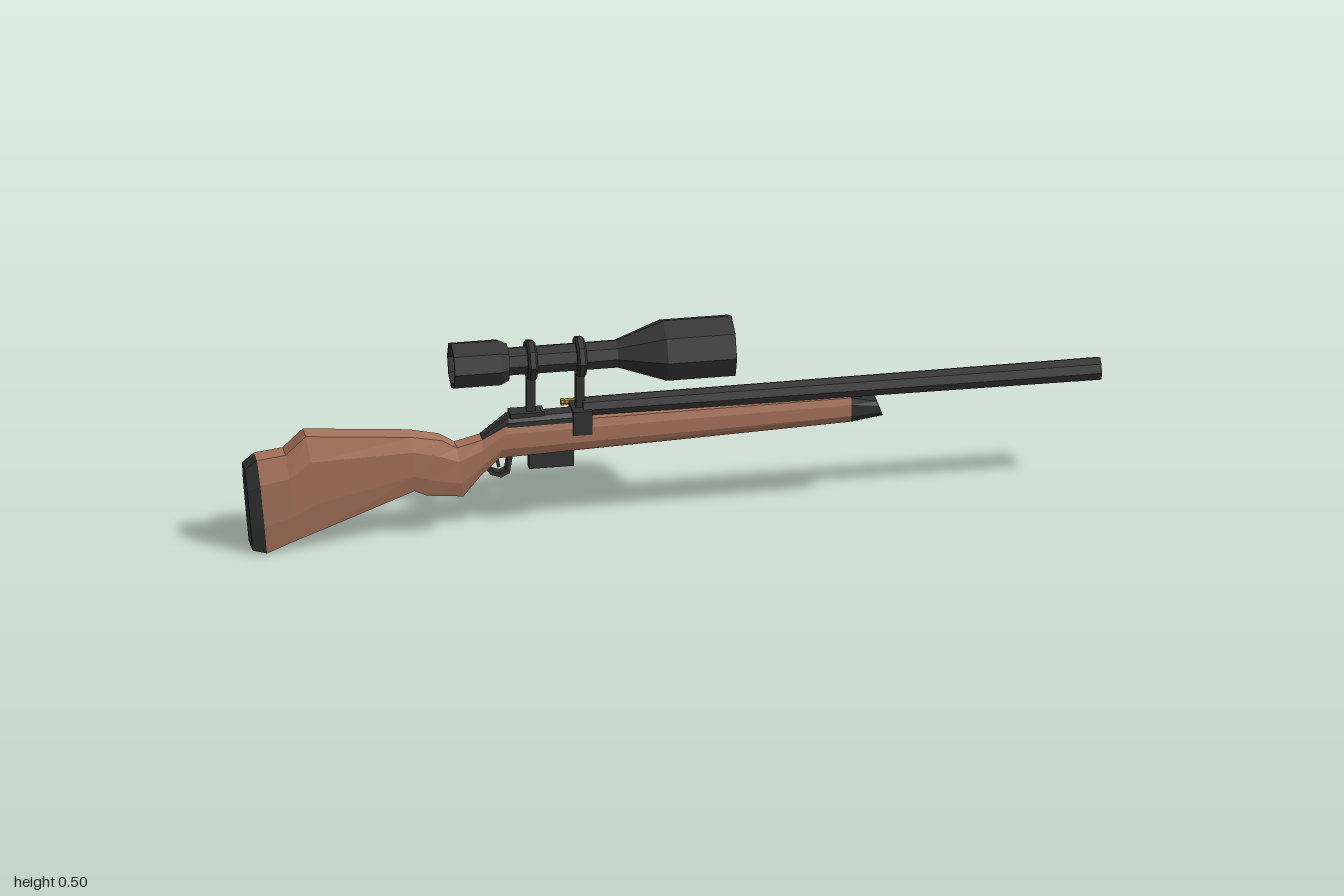
import * as THREE from 'three';

const Z = 0.04; // centre plane of the rifle

const paint = (name, color) => {
  const m = new THREE.MeshStandardMaterial({ color });
  m.name = name;
  return m;
};

// Faceted normals
function facet(geo) {
  const g = geo.index ? geo.toNonIndexed() : geo;
  g.computeVertexNormals();
  return g;
}

// Loft eight-sided sections: [topX, topY, bottomX, bottomY, topHalf, midHalf, bottomHalf]
function loft(stations) {
  const pos = [], idx = [], n = 8;
  for (const [tx, ty, bx, by, wt, wm, wb] of stations) {
    const half = [[1, wt], [0.75, wm], [0.3, wm], [0, wb]];
    const ring = [...half, ...half.slice().reverse().map(([t, w]) => [t, -w])];
    for (const [t, w] of ring) pos.push(bx + (tx - bx) * t, by + (ty - by) * t, w);
  }
  const last = (stations.length - 1) * n;
  for (let s = 0; s < last; s += n) {
    for (let i = 0; i < n; i++) {
      const j = (i + 1) % n;
      idx.push(s + i, s + j, s + n + i, s + j, s + n + j, s + n + i);
    }
  }
  for (let i = 1; i < n - 1; i++) idx.push(0, i + 1, i, last, last + i, last + i + 1);
  const g = new THREE.BufferGeometry();
  g.setAttribute('position', new THREE.Float32BufferAttribute(pos, 3));
  g.setIndex(idx);
  return facet(g);
}

// Turn a profile of [x, radius] about the x axis
function turned(profile, sides = 8) {
  const g = new THREE.LatheGeometry(profile.map(([x, r]) => new THREE.Vector2(r, x)), sides);
  g.rotateZ(-Math.PI / 2);
  return facet(g);
}

export function createModel() {
  const group = new THREE.Group();
  group.name = 'rifle';
  const wood = paint('wood', 0xa8745c);
  const metal = paint('gunmetal', 0x333333);
  const rubber = paint('darkTrim', 0x2f3232);
  const brass = paint('brass', 0xb5832f);
  const copper = paint('copper', 0x9a5f30);

  const add = (name, geo, mat, x = 0, y = 0, z = Z) => {
    const mesh = new THREE.Mesh(geo, mat);
    mesh.name = name;
    mesh.position.set(x, y, z);
    group.add(mesh);
    return mesh;
  };
  const box = (name, mat, x0, x1, y0, y1, depth) =>
    add(name, new THREE.BoxGeometry(x1 - x0, y1 - y0, depth), mat, (x0 + x1) / 2, (y0 + y1) / 2);

  // Stock, grip and forearm
  add('stock', loft([
    [-0.972, 0.235, -0.95, 0, 0.022, 0.036, 0.03],
    [-0.905, 0.243, -0.88, 0.028, 0.022, 0.038, 0.03],
    [-0.858, 0.287, -0.82, 0.05, 0.022, 0.038, 0.03],
    [-0.61, 0.265, -0.605, 0.13, 0.022, 0.034, 0.027],
    [-0.54, 0.25, -0.575, 0.115, 0.02, 0.032, 0.025],
    [-0.505, 0.228, -0.49, 0.105, 0.018, 0.03, 0.022],
    [-0.445, 0.243, -0.45, 0.152, 0.018, 0.029, 0.02],
    [-0.39, 0.28, -0.405, 0.195, 0.024, 0.03, 0.02],
    [0.415, 0.285, 0.415, 0.222, 0.025, 0.03, 0.02],
  ]), wood);
  add('buttPad', loft([
    [-1, 0.213, -0.983, 0.008, 0.02, 0.031, 0.026],
    [-0.972, 0.235, -0.95, 0, 0.022, 0.036, 0.03],
  ]), rubber);
  add('foreEndCap', loft([
    [0.415, 0.285, 0.415, 0.222, 0.025, 0.03, 0.02],
    [0.475, 0.27, 0.49, 0.232, 0.022, 0.027, 0.018],
  ]), rubber);

  // Barrel with a hollow muzzle
  add('barrel', turned([[-0.21, 0], [-0.21, 0.023], [1, 0.028], [1, 0.014], [0.96, 0.014], [0.96, 0]]),
    metal, 0, 0.302);

  // Receiver with a tang sloping down to the grip
  add('receiver', loft([
    [-0.445, 0.248, -0.445, 0.225, 0.012, 0.018, 0.016],
    [-0.385, 0.293, -0.385, 0.26, 0.016, 0.026, 0.024],
    [-0.19, 0.297, -0.19, 0.26, 0.016, 0.026, 0.024],
  ]), metal);
  box('rearMountBase', metal, -0.38, -0.3, 0.275, 0.303, 0.036);
  box('frontMountBase', metal, -0.235, -0.19, 0.243, 0.303, 0.064);

  // Scope body with recessed ends
  add('scope', turned([
    [-0.495, 0], [-0.495, 0.043], [-0.515, 0.047], [-0.515, 0.056], [-0.405, 0.056], [-0.385, 0.046],
    [-0.385, 0.034], [-0.13, 0.034], [-0.02, 0.075], [0.14, 0.075], [0.14, 0.062],
    [0.105, 0.05], [0.105, 0],
  ]), metal, 0, 0.43);
  const lens = new THREE.SphereGeometry(0.042, 12, 4, 0, Math.PI * 2, 0, Math.PI / 2);
  lens.scale(1, 0.35, 1).rotateZ(-Math.PI / 2);
  add('frontLens', lens, metal, 0.106, 0.43);

  // Scope rings on posts
  for (const x of [-0.33, -0.215]) {
    add('scopeRing', turned([
      [-0.011, 0.03], [-0.011, 0.044], [-0.006, 0.05], [0.006, 0.05], [0.011, 0.044], [0.011, 0.03],
    ]), metal, x, 0.43);
    box('scopePost', metal, x - 0.01, x + 0.01, 0.29, 0.395, 0.018);
  }

  // Magazine, trigger and guard
  box('magazine', metal, -0.335, -0.23, 0.158, 0.215, 0.026);
  const guard = new THREE.Shape();
  [[-0.44, 0.172], [-0.425, 0.15], [-0.4, 0.141], [-0.38, 0.151], [-0.372, 0.2], [-0.425, 0.2]]
    .forEach(([x, y], i) => (i ? guard.lineTo(x, y) : guard.moveTo(x, y)));
  guard.closePath();
  guard.holes.push(new THREE.Path([[-0.428, 0.172], [-0.418, 0.158], [-0.401, 0.152],
    [-0.389, 0.158], [-0.384, 0.192], [-0.416, 0.192]].map(([x, y]) => new THREE.Vector2(x, y))));
  const guardGeo = new THREE.ExtrudeGeometry(guard, { depth: 0.024, bevelEnabled: false });
  guardGeo.translate(0, 0, -0.012);
  add('triggerGuard', guardGeo, metal);
  const trigger = box('trigger', metal, -0.411, -0.404, 0.164, 0.2, 0.008);
  trigger.rotation.z = 0.2;

  // Loose cartridge beside the rifle
  add('cartridgeCase', turned([
    [-0.235, 0], [-0.235, 0.009], [-0.228, 0.009], [-0.226, 0.007], [-0.223, 0.008],
    [-0.185, 0.008], [-0.178, 0.005], [-0.172, 0.005], [-0.172, 0],
  ]), brass, 0, 0.247, -0.104);
  add('bulletTip', turned([[-0.172, 0.005], [-0.163, 0.004], [-0.155, 0]]), copper, 0, 0.247, -0.104);

  return group;
}
